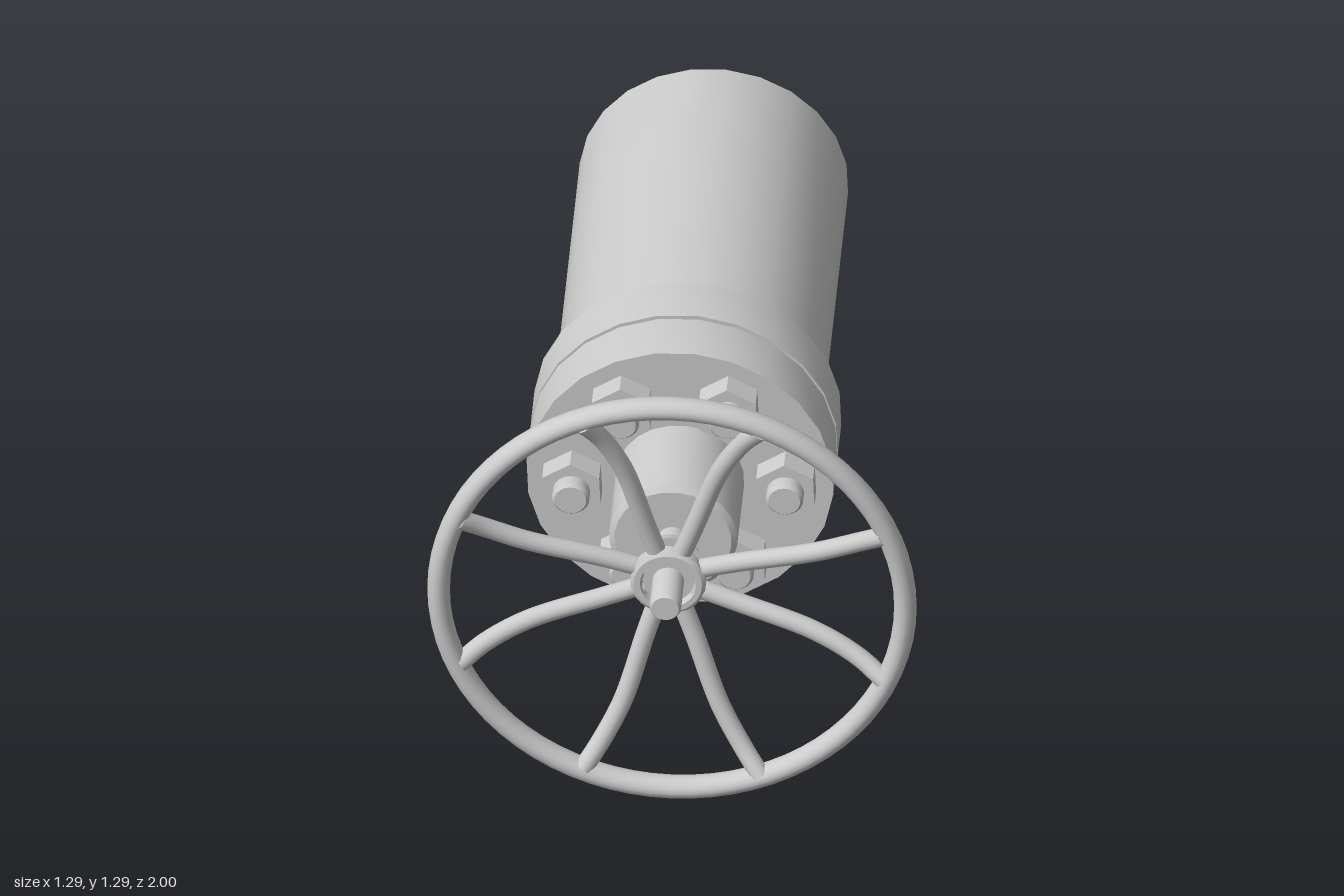
import * as THREE from 'three';
import { toCreasedNormals } from 'three/addons/utils/BufferGeometryUtils.js';

const CX = -0.015, CY = 0.645;               // main axis, running along z
const TILT = THREE.MathUtils.degToRad(2.4);  // small roll of body and bolts
const material = new THREE.MeshStandardMaterial({ color: 0xcccccc, side: THREE.DoubleSide });

// Solid of revolution about z; profile is a list of [radius, z], back to front
function turned(name, profile, sides = 24) {
  const points = profile.map(([r, z]) => new THREE.Vector2(r, z));
  const geometry = new THREE.LatheGeometry(points, sides);
  geometry.rotateX(Math.PI / 2);
  const mesh = new THREE.Mesh(toCreasedNormals(geometry, 0.6), material);
  mesh.name = name;
  return mesh;
}

const drum = (name, r, z0, z1, sides) =>
  turned(name, [[0, z0], [r, z0], [r, z1], [0, z1]], sides);

// Hex nut with a stud tip
function makeBolt() {
  const bolt = new THREE.Group();
  bolt.name = 'bolt';
  bolt.add(drum('nut', 0.087, 0.40, 0.475, 6));
  bolt.add(turned('stud', [[0, 0.41], [0.05, 0.41], [0.05, 0.505], [0.042, 0.515], [0, 0.515]], 20));
  return bolt;
}

// Curved spoke beside one of the four main directions; side is +1 or -1
function makeSpoke(axisAngle, side) {
  // radius, offset from the main direction in degrees, z
  const path = [[0.07, 23, 0.856], [0.19, 20, 0.868], [0.40, 18.7, 0.897], [0.53, 20.8, 0.927], [0.61, 22.7, 0.962]];
  const curve = new THREE.CatmullRomCurve3(path.map(([r, offset, z]) => {
    const a = axisAngle + side * THREE.MathUtils.degToRad(offset);
    const t = r / 0.61;                      // ease from hub centre to rim centre
    return new THREE.Vector3(CX * (1 - t) + r * Math.cos(a), CY + 0.003 * t + r * Math.sin(a), z);
  }));
  const spoke = new THREE.Group();
  spoke.name = 'spoke';
  const tube = new THREE.Mesh(new THREE.TubeGeometry(curve, 20, 0.026, 14), material);
  tube.name = 'spokeBar';
  const end = new THREE.Mesh(new THREE.CircleGeometry(0.026, 14), material);
  end.name = 'spokeEnd';
  end.position.copy(curve.getPoint(1));
  end.quaternion.setFromUnitVectors(new THREE.Vector3(0, 0, 1), curve.getTangent(1));
  spoke.add(tube, end);
  return spoke;
}

export function createModel() {
  const model = new THREE.Group();
  model.name = 'flangedValve';

  // Body and flanges
  const body = new THREE.Group();
  body.name = 'body';
  body.position.set(CX, CY, 0);
  body.rotation.z = Math.PI / 24 + TILT;
  body.add(
    turned('barrel', [[0, -1], [0.215, -1], [0.356, -0.935], [0.356, 0.11]]),
    drum('rearFlange', 0.407, 0.095, 0.24),
    drum('gasket', 0.25, 0.23, 0.265),
    drum('frontFlange', 0.407, 0.255, 0.41),
    turned('bonnet', [[0.17, 0.40], [0.17, 0.678], [0.155, 0.69], [0, 0.69]])
  );
  model.add(body);

  // Ring of six bolts
  for (let i = 0; i < 6; i++) {
    const a = i * Math.PI / 3 + TILT;
    const bolt = makeBolt();
    bolt.position.set(CX + 0.283 * Math.cos(a), CY + 0.283 * Math.sin(a), 0);
    bolt.rotation.z = TILT;
    model.add(bolt);
  }

  // Stem, collar and hub
  const spindle = new THREE.Group();
  spindle.name = 'spindle';
  spindle.position.set(CX, CY, 0);
  spindle.add(
    turned('stem', [[0.042, 0.68], [0.042, 0.99], [0.036, 1], [0, 1]], 24),
    turned('collar', [[0.042, 0.755], [0.078, 0.772], [0.095, 0.812], [0, 0.812]], 24),
    turned('hub', [[0.068, 0.80], [0.07, 0.83], [0.1, 0.855], [0.1, 0.882], [0.09, 0.89],
      [0.074, 0.89], [0.068, 0.872], [0.04, 0.872]], 32)
  );
  model.add(spindle);

  // Handwheel rim and four pairs of spokes
  const wheel = new THREE.Group();
  wheel.name = 'handwheel';
  const rim = new THREE.Mesh(new THREE.TorusGeometry(0.617, 0.03, 16, 72), material);
  rim.name = 'rim';
  rim.scale.z = 1.17;
  rim.position.set(0, 0.648, 0.951);
  wheel.add(rim);
  for (let i = 0; i < 4; i++) {
    for (const side of [-1, 1]) wheel.add(makeSpoke(i * Math.PI / 2, side));
  }
  model.add(wheel);

  return model;
}
